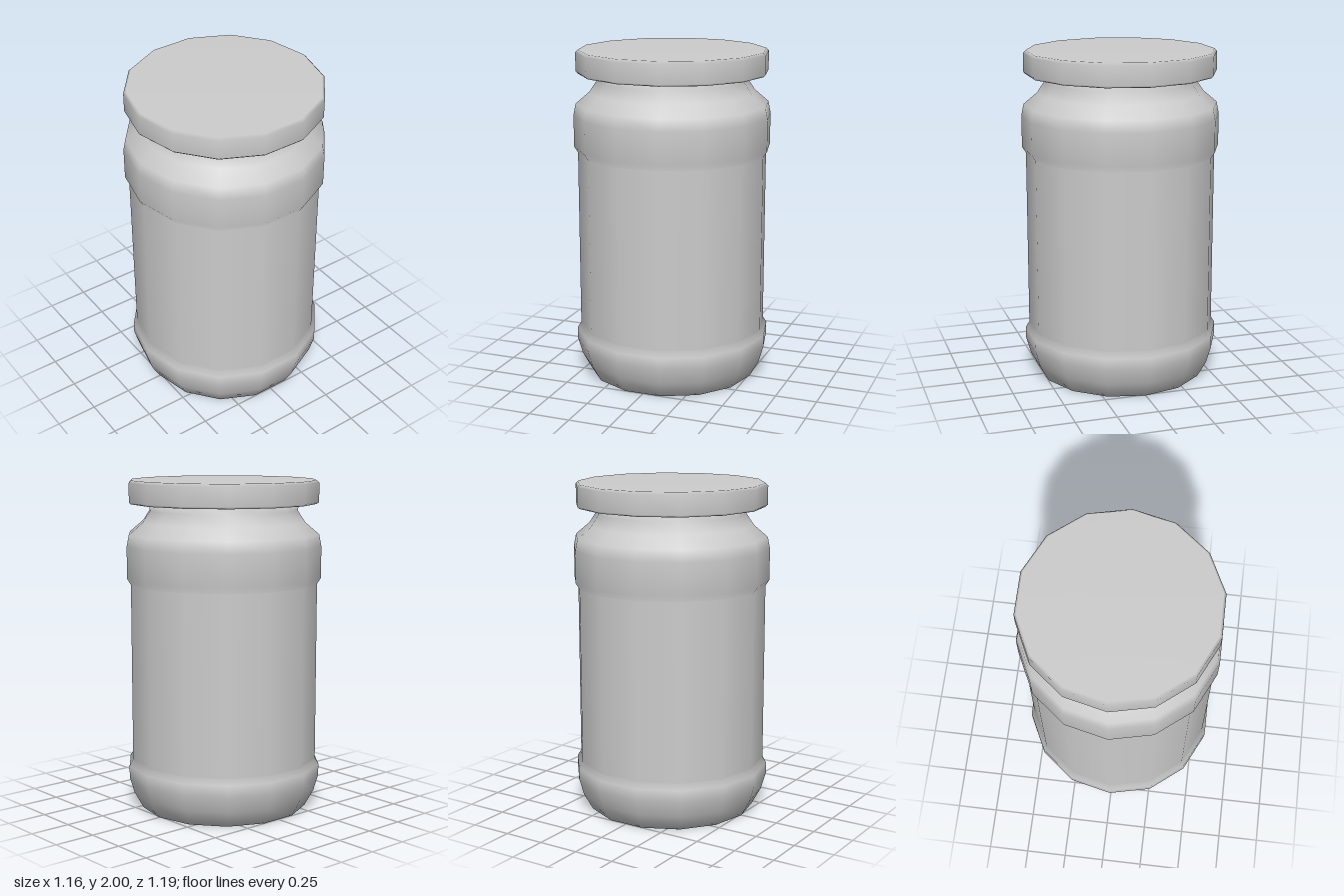
import * as THREE from 'three';

const SIDES = 14;

// Revolve a [radius, height] profile, listed from bottom to top
function turned(name, profile, side = THREE.FrontSide) {
  const points = profile.map(([r, y]) => new THREE.Vector2(r, y));
  const material = new THREE.MeshStandardMaterial({ color: 0xcccccc, side });
  const mesh = new THREE.Mesh(new THREE.LatheGeometry(points, SIDES), material);
  mesh.name = name;
  return mesh;
}

export function createModel() {
  const jar = new THREE.Group();
  jar.name = 'jar';

  // Glass body: rounded foot, recessed label panel, shoulder and neck
  jar.add(turned('body', [
    [0, 0], [0.51, 0], [0.565, 0.1], [0.594, 0.2], [0.594, 0.27],
    [0.566, 0.315], [0.566, 1.375], [0.594, 1.42], [0.594, 1.61],
    [0.58, 1.68], [0.497, 1.75], [0.45, 1.82], [0.46, 1.87], [0, 1.87],
  ]));

  // Label wrapped around the recessed panel
  jar.add(turned('label', [[0.571, 0.305], [0.571, 1.385]], THREE.DoubleSide));

  // Overhanging lid with a slight bevel on both rims
  jar.add(turned('lid', [
    [0, 1.86], [0.565, 1.86], [0.577, 1.872], [0.577, 1.985],
    [0.562, 2], [0, 2],
  ]));

  return jar;
}
